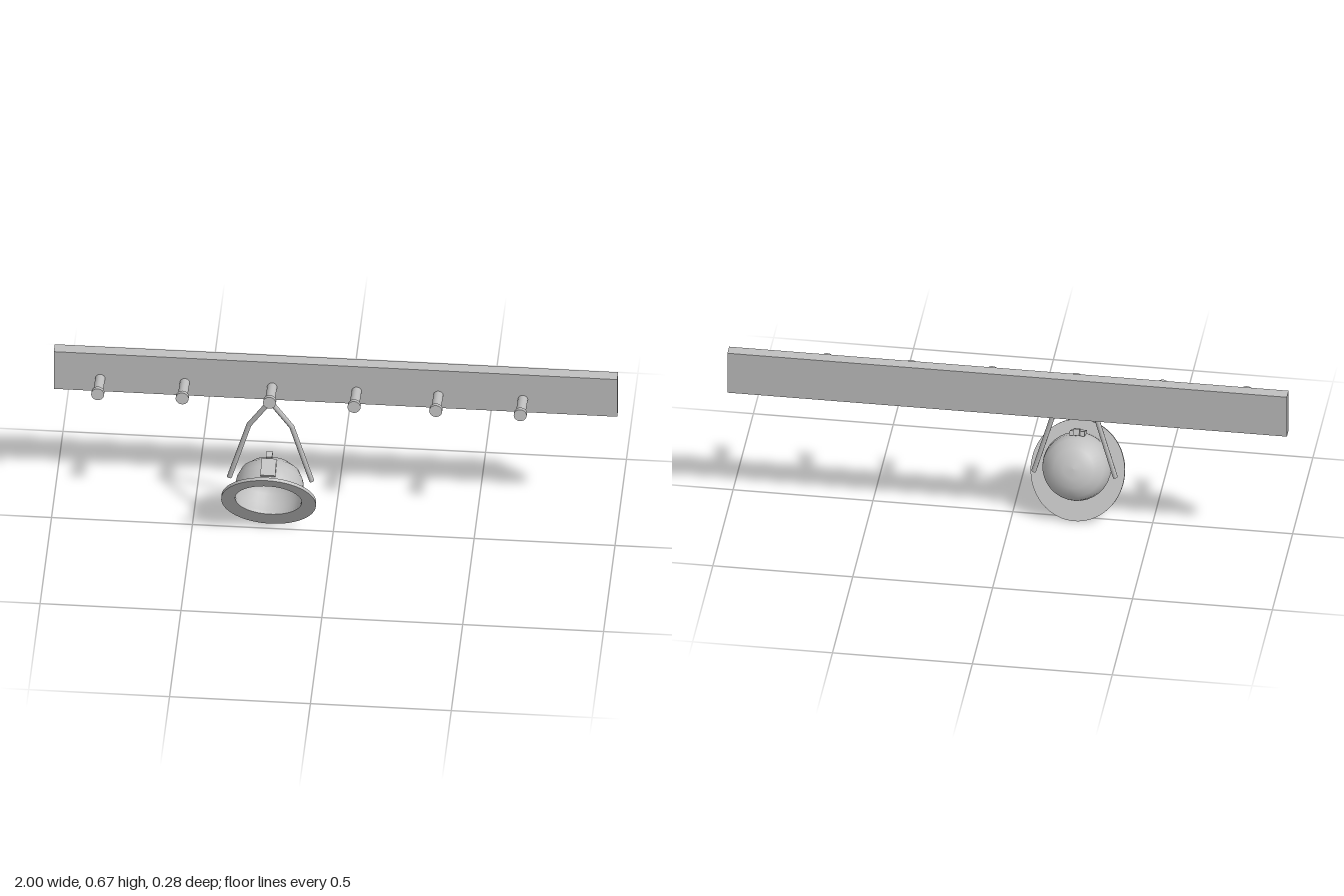
import * as THREE from 'three';

const metal = new THREE.MeshStandardMaterial({ color: 0xc0c0c0, side: THREE.DoubleSide });
metal.name = 'light grey';

const V = (x, y, z) => new THREE.Vector3(x, y, z);

function add(parent, name, geometry, x = 0, y = 0, z = 0) {
  const mesh = new THREE.Mesh(geometry, metal);
  mesh.name = name;
  mesh.position.set(x, y, z);
  parent.add(mesh);
  return mesh;
}

// Round rod running from point a to point b
function rod(parent, name, a, b, radius, sides) {
  const mesh = add(parent, name, new THREE.CylinderGeometry(radius, radius, a.distanceTo(b), sides));
  mesh.position.copy(a).add(b).multiplyScalar(0.5);
  mesh.quaternion.setFromUnitVectors(V(0, 1, 0), b.clone().sub(a).normalize());
  return mesh;
}

export function createModel() {
  const model = new THREE.Group();
  model.name = 'wallRackWithHelmet';

  // Wall board
  add(model, 'board', new THREE.BoxGeometry(2, 0.166, 0.043), 0, 0.584, -0.1195);

  // Row of pegs, tilted slightly upward, each with a wider end cap
  for (const x of [-0.835, -0.535, -0.225, 0.075, 0.365, 0.665]) {
    const peg = new THREE.Group();
    peg.name = 'peg';
    peg.position.x = x;
    rod(peg, 'pegShaft', V(0, 0.557, -0.105), V(0, 0.573, 0.004), 0.0175, 24);
    rod(peg, 'pegCap', V(0, 0.573, 0.002), V(0, 0.5755, 0.0185), 0.023, 24);
    model.add(peg);
  }

  const hanging = new THREE.Group();
  hanging.name = 'hangingHelmet';
  hanging.position.x = -0.225;
  model.add(hanging);

  // Chin strap: two bent rods meeting at the peg
  for (const side of [-1, 1]) {
    const top = V(side * 0.004, 0.556, -0.009);
    const bend = V(side * 0.076, 0.443, -0.022);
    const end = V(side * 0.146, 0.2, -0.03);
    rod(hanging, 'upperStrap', top, bend, 0.009, 8);
    rod(hanging, 'lowerStrap', bend, end, 0.009, 8);
    add(hanging, 'strapBend', new THREE.SphereGeometry(0.009, 8, 6), bend.x, bend.y, bend.z);
  }

  // Helmet: local +y points to the crown, local +z up along the brim
  const helmet = new THREE.Group();
  helmet.name = 'helmet';
  helmet.position.set(0, 0.182, 0.054);
  helmet.rotation.x = -1.087;
  hanging.add(helmet);

  const profile = [[0.119, -0.004], [0.123, 0.03], [0.118, 0.067], [0.103, 0.1],
    [0.071, 0.125], [0.036, 0.136], [0, 0.139]].map(([r, y]) => new THREE.Vector2(r, y));
  add(helmet, 'bowl', new THREE.LatheGeometry(profile, 32));

  // Flat oval brim, longer toward the bottom
  const oval = new THREE.Shape().absellipse(0, -0.016, 0.168, 0.182, 0, Math.PI * 2);
  oval.holes.push(new THREE.Path().absarc(0, 0, 0.118, 0, Math.PI * 2, true));
  const brim = new THREE.ExtrudeGeometry(oval, { depth: 0.012, bevelEnabled: false, curveSegments: 32 });
  brim.rotateX(Math.PI / 2);
  add(helmet, 'brim', brim);

  // Lamp bracket and small knob on top of the bowl
  const bracket = add(hanging, 'bracket', new THREE.BoxGeometry(0.053, 0.017, 0.066), 0, 0.317, 0.06);
  const knob = add(hanging, 'knob', new THREE.BoxGeometry(0.022, 0.024, 0.024), 0, 0.344, 0.022);
  bracket.rotation.x = knob.rotation.x = 0.48;

  return model;
}
